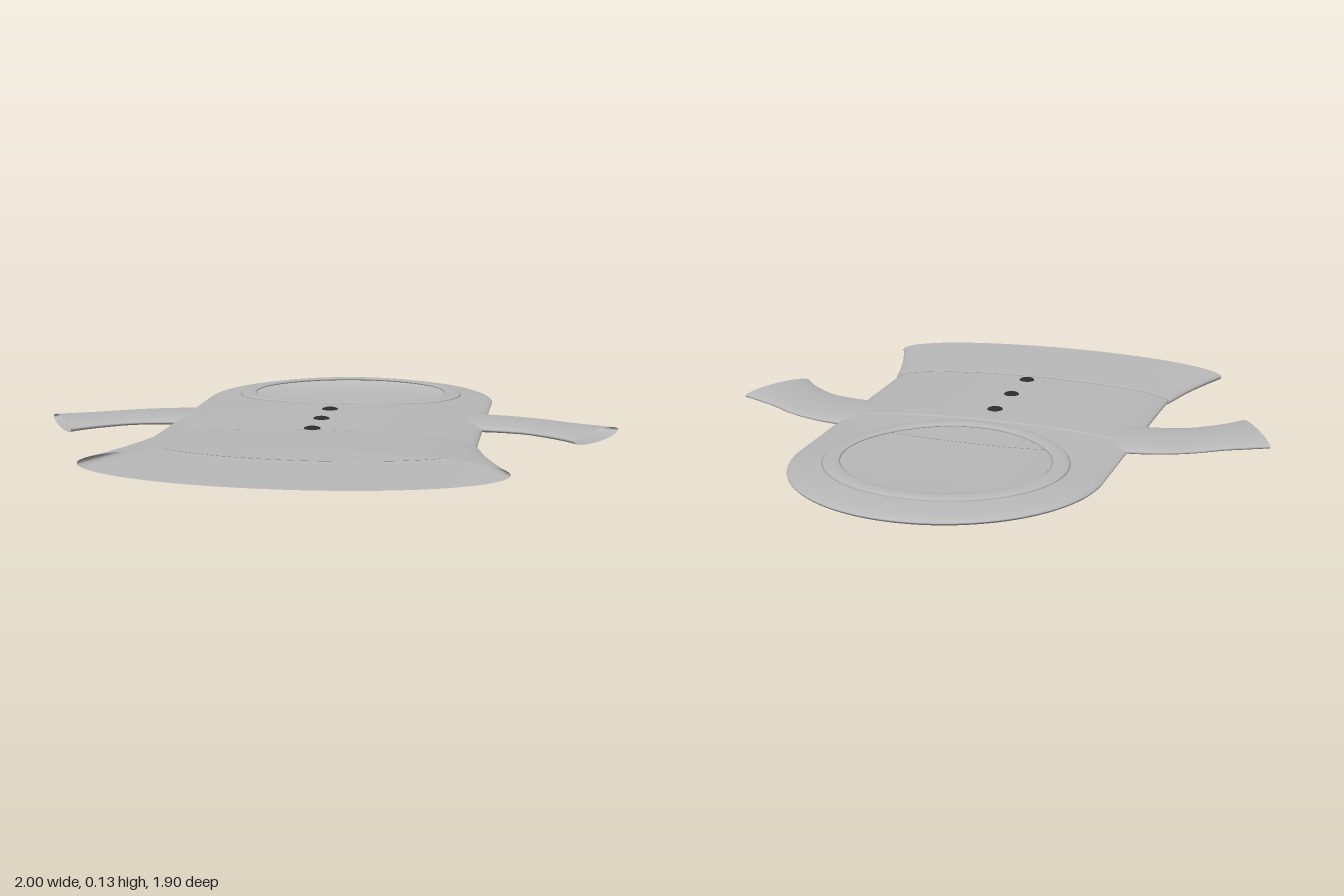
import * as THREE from 'three';
import { mergeVertices } from 'three/addons/utils/BufferGeometryUtils.js';

const cloth = new THREE.MeshStandardMaterial({ color: 0xb8b8b8, side: THREE.DoubleSide });
cloth.name = 'grey cloth';
const dark = new THREE.MeshStandardMaterial({ color: 0x2c2c2c });
dark.name = 'dark button';

const C = 0.065;          // height of the garment's middle plane
const HOOD_R = 0.538, HOOD_Z = -0.412;
const FACE_Z = -0.43;
const TAU = Math.PI * 2;

// Smooth surface from a rule giving a point for each (u, v) in 0..1
function surface(nu, nv, rule) {
  const pos = [], idx = [];
  for (let i = 0; i <= nu; i++)
    for (let j = 0; j <= nv; j++) pos.push(...rule(i / nu, j / nv, i, j));
  for (let i = 0; i < nu; i++)
    for (let j = 0; j < nv; j++) {
      const a = i * (nv + 1) + j, b = a + nv + 1;
      idx.push(a, b, a + 1, b, b + 1, a + 1);
    }
  let g = new THREE.BufferGeometry();
  g.setAttribute('position', new THREE.Float32BufferAttribute(pos, 3));
  g.setIndex(idx);
  g = mergeVertices(g, 1e-5);
  g.computeVertexNormals();
  return g;
}

// Flat elliptical tube along z through sections [z, halfWidth, halfHeight]
function ellipseLoft(sections) {
  return surface(sections.length - 1, 96, (u, v, i) => {
    const [z, w, h] = sections[i];
    return [w * Math.cos(v * TAU), C - h * Math.sin(v * TAU), z];
  });
}

// Half thickness of the hood at a point in plan
function hoodHeight(x, z, side) {
  const r = Math.hypot(x, Math.min(0, z - HOOD_Z)) / HOOD_R;
  const dip = THREE.MathUtils.smoothstep(z, -0.22, 0);
  const h = side > 0 ? 0.041 + 0.006 * dip : 0.046;
  return side * h * Math.sqrt(Math.max(0, 1 - r * r));
}

// Hood outline in plan, from the front left corner round the back and home
function hoodOutline() {
  const p = [];
  for (let i = 0; i < 12; i++) p.push([HOOD_R, HOOD_Z * i / 12]);
  for (let i = 0; i <= 64; i++) {
    const a = Math.PI * i / 64;
    p.push([HOOD_R * Math.cos(a), HOOD_Z - HOOD_R * Math.sin(a)]);
  }
  for (let i = 11; i >= 0; i--) p.push([-HOOD_R, HOOD_Z * i / 12]);
  for (let i = 1; i <= 32; i++) p.push([-HOOD_R + 2 * HOOD_R * i / 32, 0]);
  p[0][1] = 0;
  return p;
}

// One side of the hood; the upper side has an oval face opening
function hoodSide(side) {
  const out = hoodOutline();
  return surface(24, out.length - 1, (u, v, i, j) => {
    const [ox, oz] = out[j];
    const a = Math.atan2(oz - FACE_Z, ox);
    const hx = side > 0 ? 0.372 * Math.cos(a) : 0;
    const hz = FACE_Z + (side > 0 ? 0.352 * Math.sin(a) : 0);
    const t = Math.sin(u * Math.PI / 2);
    const x = (hx + (ox - hx) * t) * side, z = hz + (oz - hz) * t;
    return [x, C + hoodHeight(x, z, side), z];
  });
}

// Rounded band around the face opening
function faceRim() {
  return surface(96, 12, (u, v) => {
    const a = u * TAU, b = v * TAU, d = 0.031 * Math.cos(b);
    const x = (0.388 + d) * Math.cos(a), z = FACE_Z - (0.361 + d) * Math.sin(a);
    return [x, C + hoodHeight(x, z, 1) + 0.006 * Math.sin(b), z];
  });
}

// Curved flat sleeve between an upper and a lower edge, open at the cuff
function sleeve(s) {
  const curve = pts => new THREE.CatmullRomCurve3(pts.map(([x, z]) => new THREE.Vector3(x, 0, z)));
  const back = curve([[0.42, -0.1], [0.54, -0.09], [0.64, -0.07], [0.75, -0.025], [0.85, 0.042], [0.93, 0.085], [1, 0.12]]);
  const front = curve([[0.42, 0.19], [0.54, 0.2], [0.61, 0.212], [0.68, 0.235], [0.755, 0.285], [0.81, 0.335], [0.855, 0.392]]);
  return surface(24, 32, (u, v) => {
    const A = back.getPoint(u), B = front.getPoint(u);
    const k = 0.5 + 0.5 * Math.cos(v * TAU);
    const h = 0.017 + 0.004 * Math.abs(2 * u - 1);
    return [s * (B.x + (A.x - B.x) * k), 0.069 - s * h * Math.sin(v * TAU), B.z + (A.z - B.z) * k];
  });
}

export function createModel() {
  const group = new THREE.Group();
  const add = (name, geometry, material = cloth) => {
    const m = new THREE.Mesh(geometry, material);
    m.name = name;
    group.add(m);
    return m;
  };

  // Hood with face opening
  add('hoodTop', hoodSide(1));
  add('hoodBack', hoodSide(-1));
  add('faceRim', faceRim());

  // Body, with a small lip over the hood's lower edge
  add('body', ellipseLoft([
    [-0.02, 0.532, 0.045], [-0.018, 0.538, 0.0485], [-0.01, 0.54, 0.05],
    [0.1, 0.54, 0.05], [0.3, 0.54, 0.05], [0.45, 0.541, 0.05], [0.57, 0.543, 0.05],
  ]));

  // Flared skirt with a rolled upper edge
  const skirt = [[0.558, 0.541, 0.049], [0.555, 0.55, 0.053], [0.563, 0.553, 0.054]];
  for (let i = 1; i <= 12; i++) {
    const t = i / 12;
    skirt.push([0.563 + 0.387 * t, 0.553 + 0.075 * t + 0.042 * t * t, 0.054 + 0.011 * t]);
  }
  add('skirt', ellipseLoft(skirt));

  // Sleeves
  add('leftSleeve', sleeve(1));
  add('rightSleeve', sleeve(-1));

  // Buttons down the front
  [0.11, 0.31, 0.51].forEach((z, i) => {
    const b = add('button' + (i + 1), new THREE.SphereGeometry(0.028, 24, 12), dark);
    b.scale.y = 0.3;
    b.position.set(0, 0.115, z);
  });
  return group;
}
